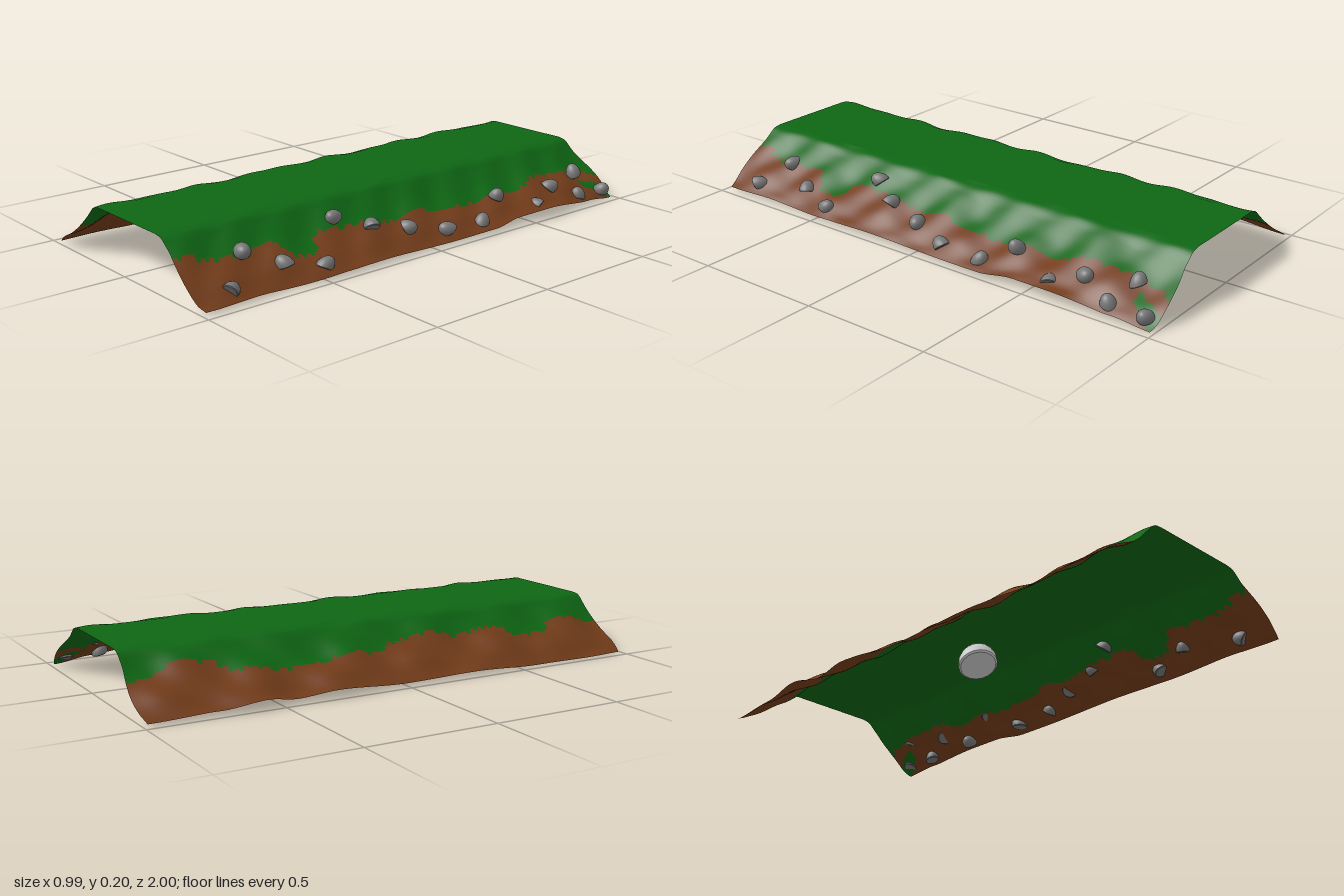
import * as THREE from 'three';
import { toCreasedNormals } from 'three/addons/utils/BufferGeometryUtils.js';

// Smooth curve through [z, value] pairs
function sample(table, z) {
  let i = 0;
  while (i < table.length - 2 && z > table[i + 1][0]) i++;
  const [z0, a] = table[i], [z1, b] = table[i + 1];
  return a + (b - a) * THREE.MathUtils.smoothstep(z, z0, z1);
}

// Slope section: distance from the centre line and height
const PROFILE = [[0.18, 0.2], [0.215, 0.193], [0.25, 0.165], [0.3, 0.125], [0.35, 0.093], [0.4, 0.063], [0.44, 0.033], [0.47, 0.013]];

// For each bank: foot position, foot height and grass border along z
const BANKS = {
  right: {
    sign: 1, phase: 0,
    foot: [[-1, 0.465], [-0.8, 0.475], [-0.6, 0.488], [-0.45, 0.474], [-0.3, 0.485], [0, 0.468], [0.45, 0.475], [0.65, 0.455], [0.95, 0.465], [1, 0.463]],
    lift: [[-1, 0.004], [-0.85, 0.02], [-0.6, 0.042], [-0.45, 0.034], [-0.3, 0.02], [-0.05, 0.012], [0.25, 0.02], [0.42, 0.018], [0.62, 0.007], [0.8, 0.015], [1, 0.012]],
    border: [[-1, 0.37], [-0.92, 0.33], [-0.7, 0.33], [-0.6, 0.355], [-0.2, 0.355], [0, 0.34], [0.15, 0.33], [0.3, 0.32], [0.44, 0.31], [0.47, 0.385], [0.55, 0.38], [0.63, 0.305], [0.82, 0.31], [1, 0.285]],
  },
  left: {
    sign: -1, phase: 2.1,
    foot: [[-1, 0.472], [-0.8, 0.48], [-0.6, 0.498], [-0.45, 0.48], [-0.3, 0.492], [0, 0.473], [0.5, 0.476], [0.65, 0.466], [0.85, 0.475], [1, 0.468]],
    lift: [[-1, 0.012], [-0.75, 0.022], [-0.58, 0.04], [-0.45, 0.022], [-0.3, 0.035], [0, 0.015], [0.3, 0.02], [0.65, 0.006], [1, 0.008]],
    border: [[-1, 0.31], [-0.8, 0.275], [-0.68, 0.285], [-0.62, 0.34], [-0.5, 0.35], [-0.2, 0.345], [-0.05, 0.33], [0.1, 0.29], [0.25, 0.295], [0.5, 0.295], [0.6, 0.34], [0.73, 0.34], [0.77, 0.3], [1, 0.31]],
  },
};

const ROWS = 120, STEPS = 28;
const curve = new THREE.CatmullRomCurve3(PROFILE.map(([x, y]) => new THREE.Vector3(x, y, 0)));
const sections = curve.getPoints(STEPS);

// Point on a bank: t runs from the crest (0) to the foot (1)
function bankPoint(bank, step, z) {
  const t = step / STEPS, p = sections[step], ph = bank.phase;
  const x = p.x + (sample(bank.foot, z) - 0.47) * t;
  const bump = Math.sin(z * 19 + t * 5 + ph) + 0.7 * Math.sin(z * 31 - t * 8 + ph * 2) + 0.5 * Math.sin(z * 9 + t * 3);
  const y = p.y + (sample(bank.lift, z) - 0.013) * t * t + 0.0085 * bump * Math.sin(Math.PI * t);
  const bulge = 0.984 + 0.014 * Math.sin(Math.PI * Math.max(0, t * 1.5 - 0.5));
  return [bank.sign * x, Math.min(0.2, y), z * bulge];
}

// Split one bank into a grass part and an earth part with shared normals
function buildBank(name, bank, grass, earth) {
  const pos = [], grassIndex = [], earthIndex = [], w = STEPS + 1;
  for (let r = 0; r <= ROWS; r++)
    for (let s = 0; s <= STEPS; s++) pos.push(...bankPoint(bank, s, -1 + (2 * r) / ROWS));
  for (let r = 0; r < ROWS; r++) {
    const z = -1 + (2 * (r + 0.5)) / ROWS;
    const edge = sample(bank.border, z) + 0.008 * Math.sin(r * 2.3) * Math.sin(r * 0.7);
    for (let s = 0; s < STEPS; s++) {
      const a = r * w + s, b = a + 1, c = a + w, d = c + 1;
      const x = Math.abs(pos[a * 3] + pos[d * 3]) / 2;
      // small tuft strip running down the back corner
      const tuft = bank.sign > 0 && z < -0.88 && Math.abs(x - 0.385 - (-z - 0.88) * 0.5) < 0.025;
      const list = x < edge || tuft ? grassIndex : earthIndex;
      if (bank.sign > 0) list.push(a, c, b, b, c, d);
      else list.push(a, b, c, b, d, c);
    }
  }
  const full = new THREE.BufferGeometry();
  full.setAttribute('position', new THREE.Float32BufferAttribute(pos, 3));
  full.setIndex([...grassIndex, ...earthIndex]);
  full.computeVertexNormals();
  const group = new THREE.Group();
  group.name = name;
  for (const [part, index, mat] of [['grassSlope', grassIndex, grass], ['earthSlope', earthIndex, earth]]) {
    const geo = full.clone();
    geo.setIndex(index);
    const mesh = new THREE.Mesh(geo, mat);
    mesh.name = part;
    group.add(mesh);
  }
  return group;
}

// Domed stone with a flat base, leaning to one side
function stoneGeometry() {
  const geo = new THREE.SphereGeometry(1, 18, 14);
  const p = geo.attributes.position;
  for (let i = 0; i < p.count; i++) {
    const y = Math.max(p.getY(i), -0.3);
    const taper = p.getY(i) < -0.3 ? 1 : 1 - 0.08 * y;
    p.setXYZ(i, p.getX(i) * taper + 0.3 * y, y, p.getZ(i) * taper);
  }
  return toCreasedNormals(geo, 0.6);
}

// Stone positions on the right bank
const STONES = [
  [0.44, 0.042, -0.95], [0.36, 0.11, -0.87], [0.44, 0.045, -0.81], [0.395, 0.095, -0.685], [0.438, 0.052, -0.57],
  [0.385, 0.11, -0.395], [0.435, 0.045, -0.27], [0.435, 0.055, -0.095], [0.385, 0.083, 0.06], [0.363, 0.115, 0.21],
  [0.29, 0.152, 0.325], [0.433, 0.05, 0.48], [0.395, 0.077, 0.62], [0.335, 0.135, 0.75], [0.425, 0.052, 0.86],
];

export function createModel() {
  const model = new THREE.Group();
  const paint = (color, side) => new THREE.MeshStandardMaterial({ color, side });
  const grass = paint(0x0e6614, THREE.DoubleSide);
  const earth = paint(0x733c1a, THREE.DoubleSide);
  const stoneGrey = paint(0x777777, THREE.FrontSide);
  const paleGrey = paint(0xcccccc, THREE.FrontSide);

  // flat grassy top
  const top = new THREE.Mesh(new THREE.PlaneGeometry(0.36, 1.968).rotateX(-Math.PI / 2), grass);
  top.position.y = 0.2;
  top.name = 'grassTop';
  model.add(top);

  // sloping banks
  for (const side of ['right', 'left'])
    model.add(buildBank(side === 'right' ? 'stonyBank' : 'plainBank', BANKS[side], grass, earth));

  // stones scattered on the bank
  const geo = stoneGeometry();
  const stones = new THREE.Group();
  stones.name = 'bankStones';
  STONES.forEach(([x, y, z], i) => {
    const stone = new THREE.Mesh(geo, stoneGrey);
    stone.name = 'stone';
    stone.position.set(x, y - 0.005, z);
    stone.scale.set(0.031, 0.035, 0.029);
    stone.rotation.set(0.5 * Math.sin(i * 2.1), i * 2.4, -0.4 + 0.4 * Math.sin(i * 1.3));
    stones.add(stone);
  });
  model.add(stones);

  // large pale stone beneath the top
  const big = new THREE.Mesh(geo, paleGrey);
  big.name = 'hiddenStone';
  big.position.set(-0.058, 0.082, -0.01);
  big.scale.set(0.081, 0.088, 0.072);
  big.rotation.set(-0.5, 0, -0.06);
  model.add(big);

  return model;
}
